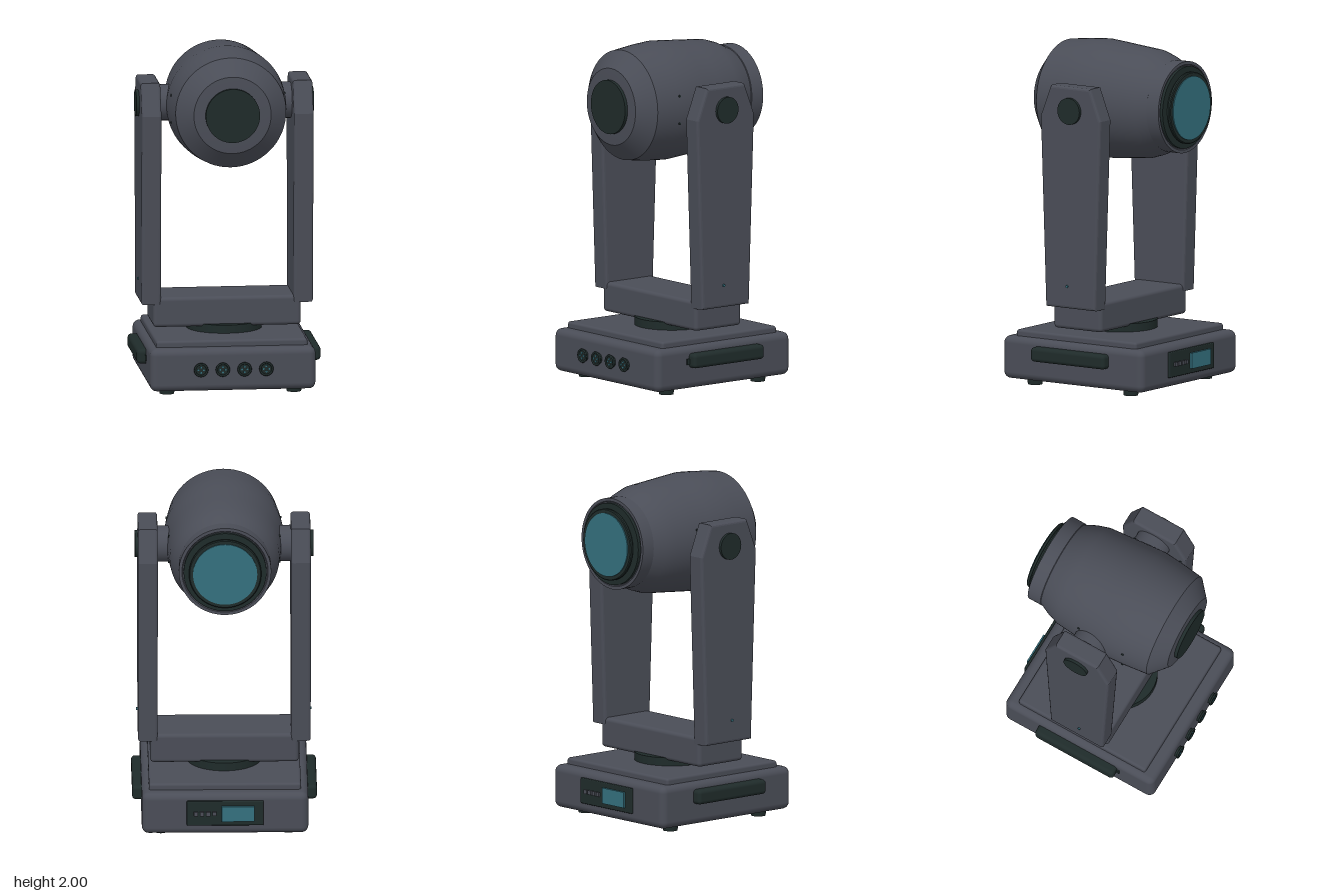
import * as THREE from 'three';
import { toCreasedNormals } from 'three/addons/utils/BufferGeometryUtils.js';
import { RoundedBoxGeometry } from 'three/addons/geometries/RoundedBoxGeometry.js';

export function createModel() {
  const model = new THREE.Group();
  model.name = 'movingHeadLight';
  const mat = (name, color) => {
    const m = new THREE.MeshStandardMaterial({ color });
    m.name = name;
    return m;
  };
  const grey = mat('housingGrey', 0x4a4d57);
  const dark = mat('rubberDark', 0x1f2b2a);
  const teal = mat('glassTeal', 0x34707e);

  const add = (name, geo, material, x, y, z, parent = model) => {
    const mesh = new THREE.Mesh(geo, material);
    mesh.name = name;
    mesh.position.set(x, y, z);
    parent.add(mesh);
    return mesh;
  };
  const box = (w, h, d, r) => new RoundedBoxGeometry(w, h, d, 3, r);
  const plain = (w, h, d) => new THREE.BoxGeometry(w, h, d);
  // cylinder along a chosen axis
  const cyl = (r, h, axis = 'y', r2 = r, n = 32) => {
    const g = new THREE.CylinderGeometry(r, r2, h, n);
    if (axis === 'x') g.rotateZ(-Math.PI / 2);
    if (axis === 'z') g.rotateX(Math.PI / 2);
    return g;
  };
  // profile of [radius, z] turned around the z axis
  const turned = (pts) => {
    const g = new THREE.LatheGeometry(pts.map(([r, z]) => new THREE.Vector2(r, z)), 64);
    g.rotateX(Math.PI / 2);
    return toCreasedNormals(g, 0.42);
  };

  // Base
  add('base', box(0.964, 0.25, 0.994, 0.04), grey, 0, 0.16, 0);
  add('baseTopPlate', box(0.88, 0.07, 0.85, 0.015), grey, 0, 0.287, 0);
  for (const x of [-0.37, 0.37])
    for (const z of [-0.34, 0.34])
      add('foot', cyl(0.046, 0.045, 'y', 0.042), dark, x, 0.0225, z);
  for (const s of [-1, 1]) {
    add('sideHandle', box(0.075, 0.085, 0.524, 0.022), dark, s * 0.4975, 0.202, 0);
    add('handleStop', plain(0.02, 0.035, 0.03), dark, s * 0.48, 0.197, 0.265);
  }

  // Sockets on the front of the base
  for (let i = 0; i < 4; i++) {
    const socket = new THREE.Group();
    socket.name = 'socket';
    socket.position.set(-0.19 + i * 0.1267, 0.165, 0.495);
    model.add(socket);
    add('socketBody', cyl(0.034, 0.02, 'z'), dark, 0, 0, 0.008, socket);
    add('socketFace', cyl(0.036, 0.008, 'z'), dark, 0, 0, 0.016, socket);
    add('socketRim', new THREE.TorusGeometry(0.036, 0.006, 8, 32), dark, 0, 0, 0.02, socket);
    for (let k = 0; k < 4; k++) {
      const a = k * Math.PI / 2;
      add('socketPin', cyl(0.0055, 0.006, 'z', 0.0055, 10), teal,
        Math.cos(a) * 0.016, Math.sin(a) * 0.016, 0.021, socket);
    }
  }

  // Control panel on the back
  add('controlPanel', box(0.445, 0.15, 0.024, 0.006), dark, 0, 0.17, -0.5);
  add('display', plain(0.19, 0.092, 0.014), teal, -0.075, 0.17, -0.518);
  for (let i = 0; i < 4; i++)
    add('panelButton', plain(0.024, 0.024, 0.014), grey, 0.062 + i * 0.036, 0.17, -0.516);

  // Pan bearing and yoke
  add('panBearing', cyl(0.218, 0.06, 'y', 0.218, 48), dark, 0, 0.34, 0);
  add('yokeCrossbar', box(0.86, 0.175, 0.34, 0.022), grey, 0, 0.4425, 0);

  const side = new THREE.Shape([
    [-0.175, 0.49], [0.175, 0.49], [0.213, 1.605], [0.14, 1.79], [-0.14, 1.79], [-0.213, 1.605],
  ].map(([z, y]) => new THREE.Vector2(z, y)));
  const bevel = 0.015;
  const width = 0.114;
  const armGeo = new THREE.ExtrudeGeometry(side, {
    depth: width - 2 * bevel, bevelThickness: bevel, bevelSize: bevel,
    bevelOffset: -bevel, bevelSegments: 3,
  });
  armGeo.translate(0, 0, -(width - 2 * bevel) / 2);
  armGeo.rotateY(Math.PI / 2);
  for (const s of [-1, 1]) {
    add('yokeArm', armGeo, grey, s * 0.443, 0, 0);
    add('tiltCap', cyl(0.078, 0.03, 'x'), dark, s * 0.502, 1.65, 0);
    add('tiltAxle', cyl(0.105, 0.14, 'x'), grey, s * 0.33, 1.65, 0);
    add('statusLight', cyl(0.008, 0.012, 'x', 0.008, 12), teal, s * 0.502, 0.62, 0.02);
  }

  // Head, lying along z
  const head = new THREE.Group();
  head.name = 'head';
  head.position.y = 1.65;
  model.add(head);
  add('headShell', turned([
    [0, -0.455], [0.245, -0.455], [0.25, -0.462], [0.268, -0.462], [0.268, -0.378],
    [0.264, -0.375], [0.295, -0.31], [0.317, -0.24], [0.329, -0.1], [0.339, 0.01],
    [0.347, 0.11], [0.339, 0.22], [0.322, 0.365], [0.225, 0.452], [0.155, 0.457], [0, 0.457],
  ]), grey, 0, 0, 0, head);
  add('frontCap', cyl(0.158, 0.03, 'z', 0.158, 48), dark, 0, 0, 0.461, head);

  // Lens assembly
  add('lensSeat', cyl(0.24, 0.024, 'z', 0.24, 64), dark, 0, 0, -0.461, head);
  add('lensBarrel', cyl(0.195, 0.04, 'z', 0.195, 64), dark, 0, 0, -0.48, head);
  add('lensRing', turned([
    [0.185, -0.488], [0.185, -0.505], [0.205, -0.505], [0.21, -0.5], [0.21, -0.488], [0.185, -0.488],
  ]), dark, 0, 0, 0, head);
  add('lens', cyl(0.186, 0.018, 'z', 0.186, 64), teal, 0, 0, -0.502, head);

  // Small screws on the flanks of the head
  for (const s of [-1, 1])
    for (const [z, r] of [[-0.09, 0.329], [0.21, 0.339]])
      for (const y of [-0.08, 0.08])
        add('headScrew', cyl(0.007, 0.02, 'x', 0.007, 12), dark,
          s * (Math.sqrt(r * r - y * y) - 0.004), y, z, head);

  return model;
}
